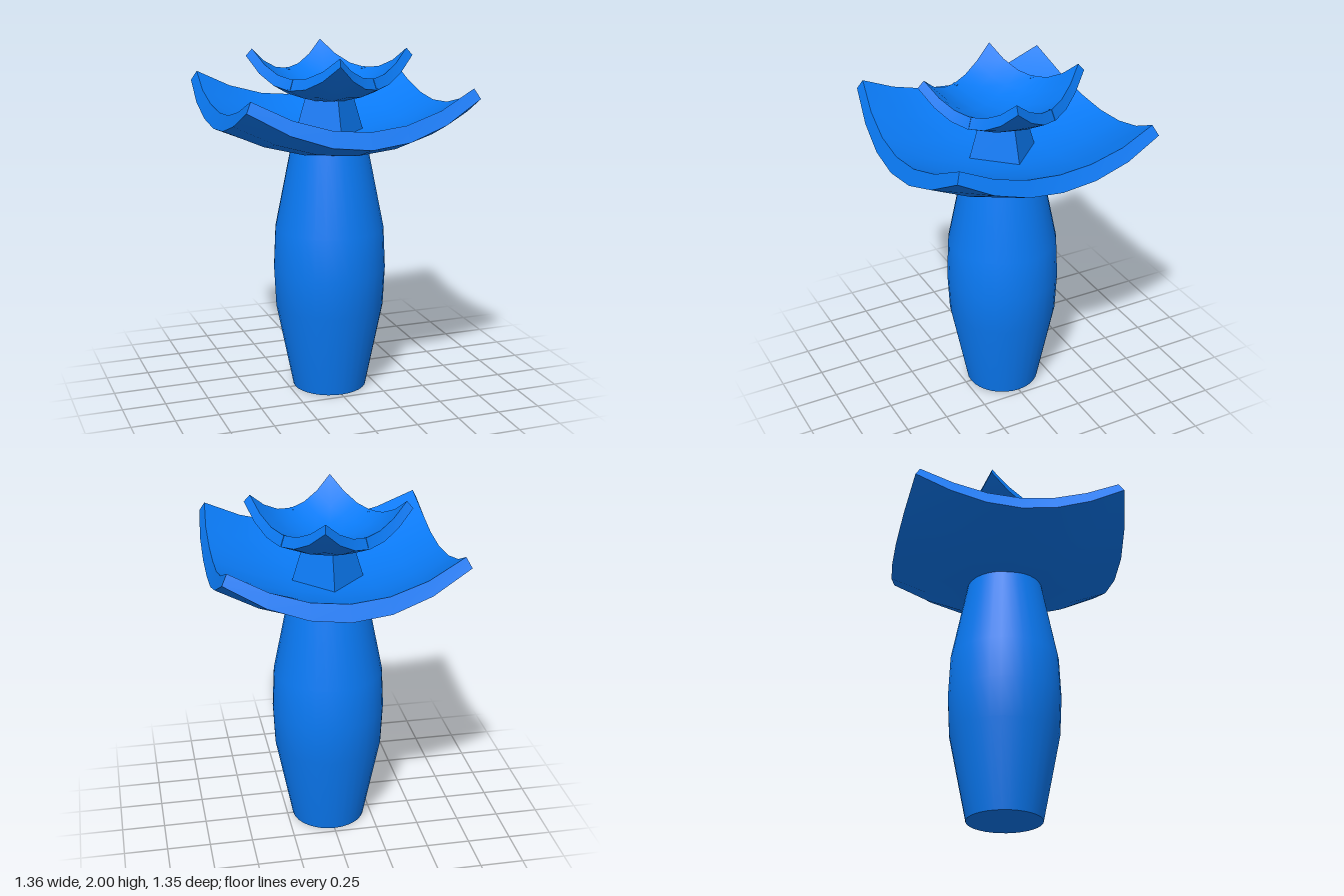
import * as THREE from 'three';

const material = new THREE.MeshStandardMaterial({ color: 0x0a7af5 });

function part(name, geometry) {
  const mesh = new THREE.Mesh(geometry, material);
  mesh.name = name;
  return mesh;
}

// Thick curved square plate: point(u, v, t), u and v in -1..1, t = 0 underside, 1 top
function plateGeometry(point, n = 6) {
  const positions = [], index = [];
  const add = (u, v, t) => positions.push(...point(u, v, t)) / 3 - 1;
  const at = (i) => (2 * i) / n - 1;

  // underside and top, each with its own smooth vertices
  for (const t of [0, 1]) {
    const start = positions.length / 3;
    for (let i = 0; i <= n; i++) for (let j = 0; j <= n; j++) add(at(i), at(j), t);
    for (let i = 0; i < n; i++) for (let j = 0; j < n; j++) {
      const a = start + i * (n + 1) + j, b = a + 1, c = a + n + 1, d = c + 1;
      if (t) index.push(a, b, c, b, d, c);
      else index.push(a, c, b, b, c, d);
    }
  }

  // four rim strips: front, right, back, left
  const sides = [(s) => [s, 1], (s) => [1, -s], (s) => [-s, -1], (s) => [-1, s]];
  for (const side of sides) {
    for (let i = 0; i <= n; i++) {
      const [u, v] = side(at(i));
      const low = add(u, v, 0), high = add(u, v, 1);
      if (i > 0) index.push(low - 2, low, high, low - 2, high, high - 2);
    }
  }

  const geometry = new THREE.BufferGeometry();
  geometry.setAttribute('position', new THREE.Float32BufferAttribute(positions, 3));
  geometry.setIndex(index);
  geometry.computeVertexNormals();
  return geometry;
}

function largePoint(u, v, t) {
  const uu = u * u, vv = v * v;
  return [
    0.678 * u * (1 - 0.034 * vv * vv) - t * 0.037 * u * (1 - 0.2 * vv),
    1.415 + 0.172 * uu + 0.135 * vv + 0.048 * uu * vv
      + t * (0.1 - 0.013 * uu - 0.01 * vv - 0.022 * uu * vv),
    0.673 * v * (1 - 0.122 * uu) - t * 0.035 * v * (1 - 0.25 * uu),
  ];
}

function smallPoint(u, v, t) {
  const uu = u * u, vv = v * v;
  return [
    0.34 * u * (1 - 0.075 * vv) - t * 0.024 * u,
    1.705 + 0.095 * uu + 0.095 * vv + 0.065 * uu * vv
      + t * (0.068 - 0.008 * uu - 0.008 * vv - 0.012 * uu * vv),
    0.345 * v - t * 0.025 * v,
  ];
}

export function createModel() {
  const model = new THREE.Group();
  model.name = 'pedestalWithDishes';

  // bulging column with a flat foot
  const profile = [[0.215, 0], [0.314, 0.5], [0.325, 0.73], [0.314, 0.97], [0.22, 1.44]]
    .map(([r, y]) => new THREE.Vector2(r, y));
  model.add(part('column', new THREE.LatheGeometry(profile, 32)));
  model.add(part('columnBase', new THREE.CircleGeometry(0.215, 32).rotateX(Math.PI / 2)));

  // wide lower dish
  model.add(part('largeDish', plateGeometry(largePoint)));

  // four-sided tapering neck, corners on the axes
  const neck = new THREE.CylinderGeometry(0.14, 0.21, 0.23, 4).toNonIndexed();
  neck.computeVertexNormals();
  neck.translate(0, 1.625, 0);
  model.add(part('neck', neck));

  // turned upper dish with a small peg in the middle of each rim
  const upper = new THREE.Group();
  upper.name = 'upperDish';
  upper.rotation.y = Math.PI / 6;
  upper.add(part('smallDish', plateGeometry(smallPoint)));
  for (let k = 0; k < 4; k++) {
    const pivot = new THREE.Group();
    pivot.name = 'rimPeg';
    pivot.rotation.y = (k * Math.PI) / 2;
    const peg = part('peg', new THREE.BoxGeometry(0.02, 0.06, 0.024));
    peg.position.set(0, 1.831, k % 2 ? 0.319 : 0.323);
    peg.rotation.x = -0.39;
    pivot.add(peg);
    upper.add(pivot);
  }
  model.add(upper);

  return model;
}
